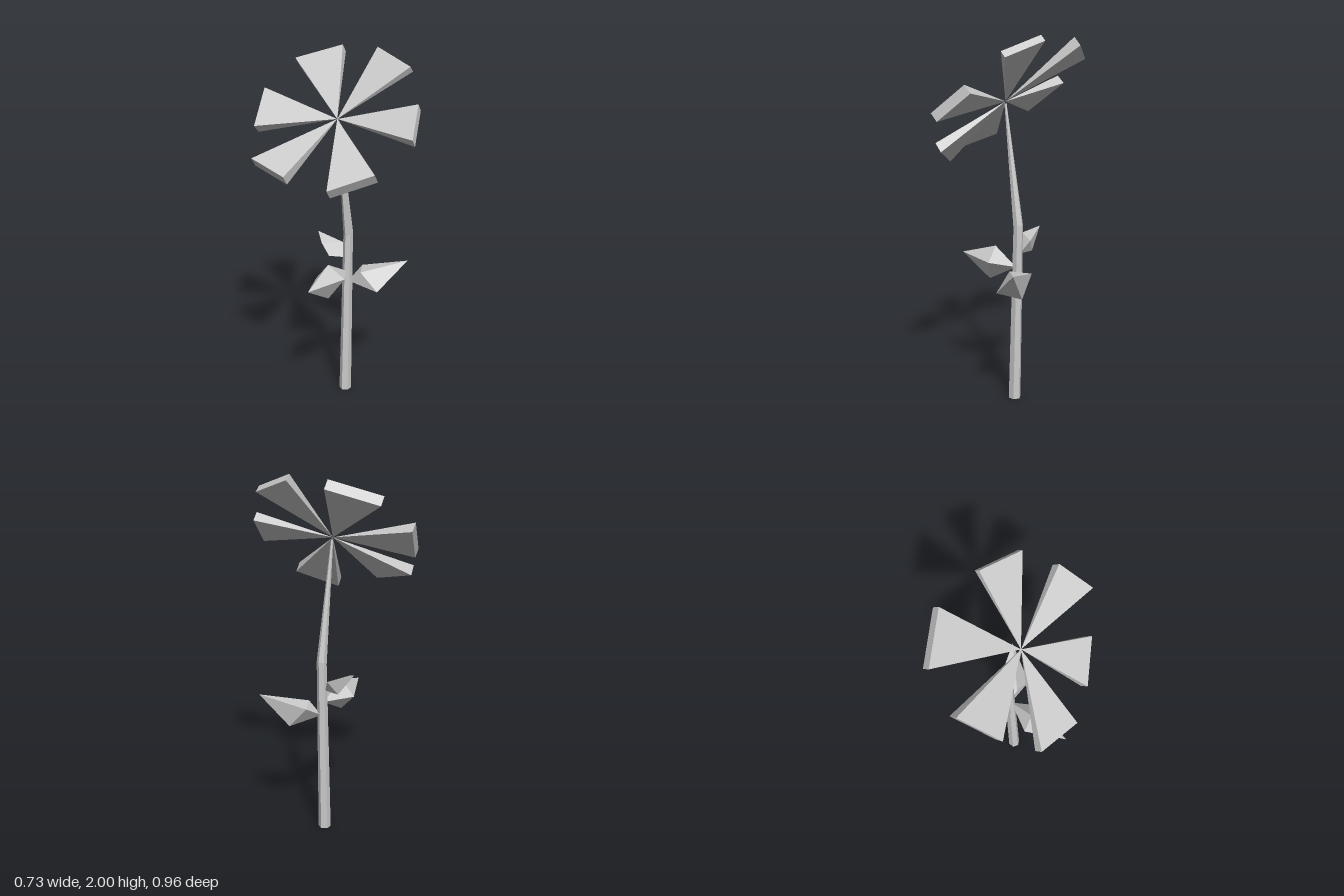
import * as THREE from 'three';
import { ConvexGeometry } from 'three/addons/geometries/ConvexGeometry.js';

const material = new THREE.MeshStandardMaterial({ color: 0xcccccc, flatShading: true });
const vec = (p) => new THREE.Vector3(...p);

// Faceted solid spanned by a few corner points
function facetedPart(name, points) {
  const mesh = new THREE.Mesh(new ConvexGeometry(points.map(vec)), material);
  mesh.name = name;
  return mesh;
}

// Six-sided stem, bent at the middle ring and tapering to the flower
function createStem() {
  const rings = [
    { x: 0.105, y: 0, z: 0, r: 0.035, tilt: 0 },
    { x: 0.125, y: 1.0, z: 0, r: 0.027, tilt: 0.5 },
    { x: 0.03, y: 1.65, z: -0.002, r: 0.006, tilt: 0.2 },
  ];
  const geometry = new THREE.CylinderGeometry(1, 1, 2, 6, 2, false, Math.PI / 6);
  const pos = geometry.attributes.position;
  for (let i = 0; i < pos.count; i++) {
    const ring = rings[Math.round(pos.getY(i)) + 1];
    const dx = pos.getX(i) * ring.r;
    pos.setXYZ(i, ring.x + dx, ring.y + dx * ring.tilt, ring.z + pos.getZ(i) * ring.r);
  }
  const flat = geometry.toNonIndexed();
  flat.computeVertexNormals();
  const mesh = new THREE.Mesh(flat, material);
  mesh.name = 'stem';
  return mesh;
}

// Petals: wedges from the flower centre to a thick outer edge
function createFlower() {
  const flower = new THREE.Group();
  flower.name = 'flower';
  const centre = [0.027, 1.66, -0.005];
  // two upper outer corners, then the offset to the lower corners
  const petals = [
    [[-0.19, 1.61, -0.39], [0.0, 1.775, -0.475], [0.04, -0.04, -0.005]],
    [[0.195, 1.915, -0.415], [0.33, 1.99, -0.19], [0.036, -0.042, -0.005]],
    [[0.31, 2.0, 0.05], [0.26, 1.925, 0.285], [0.027, -0.028, 0]],
    [[0.14, 1.77, 0.41], [-0.022, 1.63, 0.48], [0.035, -0.04, -0.006]],
    [[-0.14, 1.46, 0.345], [-0.275, 1.375, 0.15], [0.035, -0.045, -0.004]],
    [[-0.365, 1.435, -0.05], [-0.335, 1.485, -0.285], [0.035, -0.048, -0.005]],
  ];
  for (const [a, b, drop] of petals) {
    const lower = (p) => p.map((v, i) => v + drop[i]);
    flower.add(facetedPart('petal', [centre, a, b, lower(a), lower(b)]));
  }
  return flower;
}

// Leaves: base, tip and four corners around the widest part
function createLeaves() {
  const leaves = new THREE.Group();
  leaves.name = 'leaves';
  leaves.add(
    facetedPart('rightLeaf', [
      [0.11, 0.77, 0], [-0.275, 0.79, 0.025],
      [-0.05, 0.86, -0.01], [-0.02, 0.785, 0.08], [-0.075, 0.67, 0.01], [-0.06, 0.765, -0.085],
    ]),
    facetedPart('leftLeaf', [
      [0.13, 0.7, 0], [0.33, 0.825, 0.27],
      [0.14, 0.675, 0.19], [0.135, 0.77, 0.08], [0.24, 0.765, 0.02], [0.26, 0.65, 0.12],
    ]),
    facetedPart('backLeaf', [
      [0.12, 0.845, -0.02], [0.11, 0.967, -0.2],
      [0.045, 0.865, -0.075], [0.045, 0.93, -0.125], [0.16, 0.915, -0.06], [0.13, 0.845, -0.11],
    ]),
  );
  return leaves;
}

export function createModel() {
  const model = new THREE.Group();
  model.name = 'flowerPlant';
  model.add(createStem(), createLeaves(), createFlower());
  return model;
}
